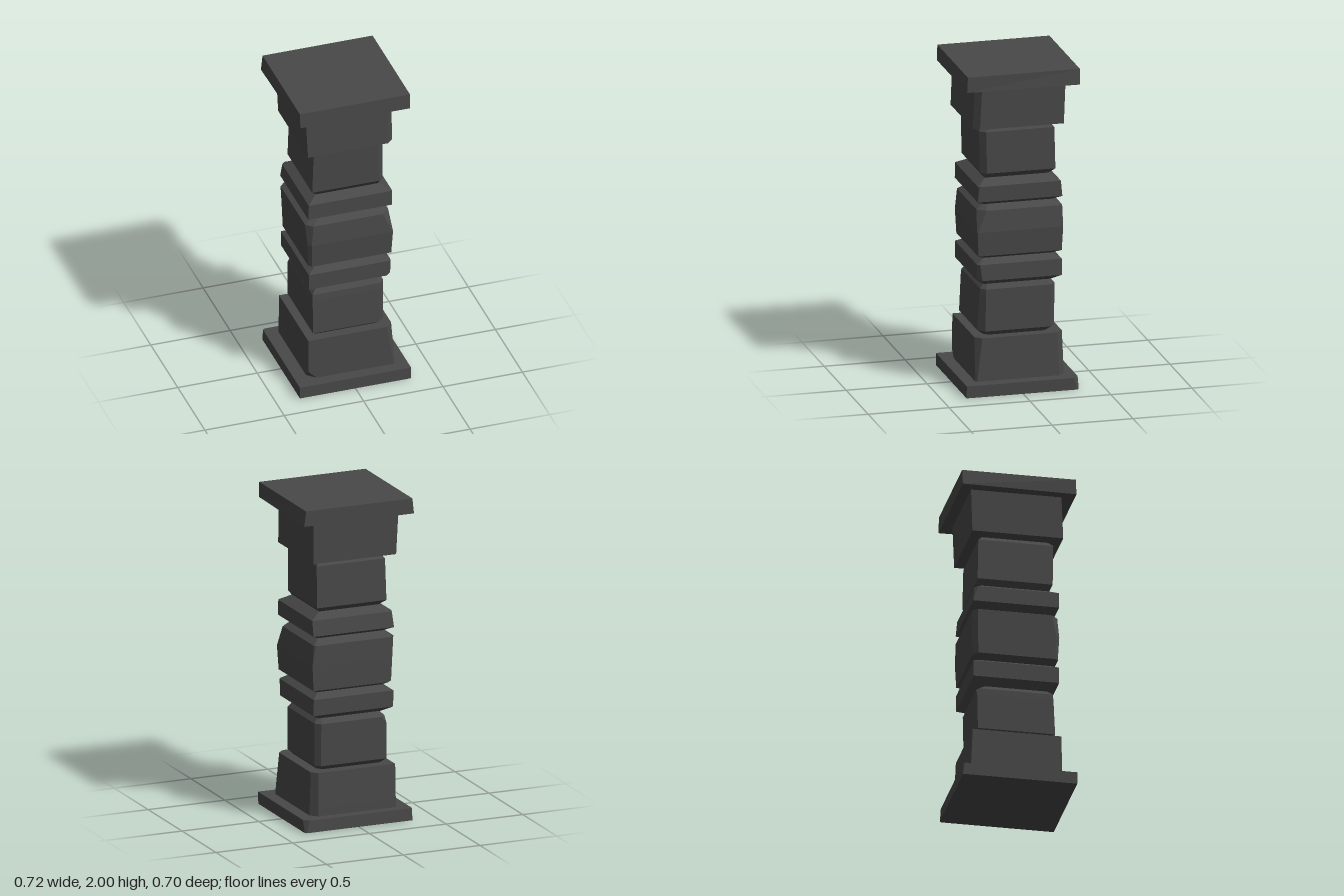
import * as THREE from 'three';

const stone = new THREE.MeshStandardMaterial({ color: 0x484848 });
stone.name = 'dark stone';

// Outline of a chipped rectangle at height y.
// cuts: corner chips in the order right-front, right-back, left-back, left-front (+x is right here).
// flare: extra half width along the back edge.
function outline([y, x0, x1, z0, z1, cuts = [0, 0, 0, 0], flare = 0]) {
  const [a, b, c, d] = cuts;
  const l = x0 - flare, r = x1 + flare;
  return [
    [x1 - a, z1], [x1, z1 - a],
    [r, z0 + b], [r - b, z0],
    [l + c, z0], [l, z0 + c],
    [x0, z1 - d], [x0 + d, z1],
  ].map(([x, z]) => new THREE.Vector3(x, y, z));
}

// Stack outlines into a closed, faceted block.
function block(name, rings) {
  const loops = rings.map(outline);
  const pos = [];
  const tri = (a, b, c) => {
    const area = b.clone().sub(a).cross(c.clone().sub(a)).length();
    if (area > 1e-7) for (const p of [a, b, c]) pos.push(p.x, p.y, p.z);
  };
  for (let i = 0; i < loops.length - 1; i++) {
    const lo = loops[i], hi = loops[i + 1];
    for (let j = 0; j < 8; j++) {
      const k = (j + 1) % 8;
      tri(lo[j], lo[k], hi[k]);
      tri(lo[j], hi[k], hi[j]);
    }
  }
  const bottom = loops[0], top = loops[loops.length - 1];
  for (let j = 1; j < 7; j++) {
    tri(bottom[0], bottom[j + 1], bottom[j]);
    tri(top[0], top[j], top[j + 1]);
  }
  const geo = new THREE.BufferGeometry();
  geo.setAttribute('position', new THREE.Float32BufferAttribute(pos, 3));
  geo.computeVertexNormals();
  const mesh = new THREE.Mesh(geo, stone);
  mesh.name = name;
  return mesh;
}

export function createModel() {
  const pillar = new THREE.Group();
  pillar.name = 'stonePillar';

  pillar.add(
    // Foot of the pillar
    block('plinth', [
      [0, -0.35, 0.348, -0.345, 0.35, [0, 0.01, 0, 0]],
      [0.075, -0.35, 0.35, -0.343, 0.35, [0, 0.03, 0.01, 0]],
    ]),
    block('baseBlock', [
      [0.075, -0.27, 0.275, -0.28, 0.275, [0.01, 0.04, 0, 0.05]],
      [0.125, -0.27, 0.274, -0.279, 0.274, [0.015, 0.04, 0, 0]],
      [0.34, -0.27, 0.265, -0.27, 0.27, [0.04, 0.035, 0, 0]],
    ]),
    // Lower half of the shaft
    block('lowerShaft', [
      [0.34, -0.2, 0.2, -0.2, 0.205, [0.03, 0.03, 0, 0]],
      [0.368, -0.23, 0.225, -0.23, 0.24, [0.04, 0.03, 0, 0]],
      [0.59, -0.229, 0.226, -0.234, 0.23, [0.032, 0.03, 0, 0]],
      [0.63, -0.228, 0.226, -0.235, 0.226, [0.03, 0.03, 0.03, 0]],
      [0.66, -0.2, 0.2, -0.2, 0.2, [0.02, 0.02, 0.02, 0]],
    ]),
    block('lowerBand', [
      [0.66, -0.205, 0.205, -0.205, 0.205],
      [0.695, -0.26, 0.26, -0.262, 0.258, [0.03, 0, 0, 0]],
      [0.795, -0.262, 0.257, -0.263, 0.257, [0.015, 0, 0, 0]],
      [0.825, -0.21, 0.21, -0.21, 0.21],
    ]),
    // Bulging block at mid height
    block('middleBlock', [
      [0.825, -0.21, 0.21, -0.21, 0.21],
      [0.85, -0.26, 0.258, -0.262, 0.254, [0, 0, 0.03, 0.02]],
      [1.0, -0.265, 0.268, -0.268, 0.262, [0.005, 0, 0.03, 0.02]],
      [1.13, -0.272, 0.255, -0.268, 0.252, [0.05, 0.01, 0.03, 0.04]],
      [1.16, -0.21, 0.21, -0.21, 0.21, [0.02, 0, 0.02, 0.02]],
    ]),
    // Upper half of the shaft
    block('upperBand', [
      [1.16, -0.21, 0.21, -0.21, 0.21],
      [1.188, -0.265, 0.26, -0.265, 0.257],
      [1.285, -0.262, 0.264, -0.255, 0.256, [0.01, 0, 0.02, 0]],
      [1.32, -0.2, 0.2, -0.2, 0.2],
    ]),
    block('upperShaft', [
      [1.32, -0.195, 0.195, -0.195, 0.2],
      [1.352, -0.23, 0.224, -0.232, 0.225, [0.035, 0, 0, 0]],
      [1.61, -0.223, 0.222, -0.226, 0.23, [0.035, 0, 0, 0]],
      [1.645, -0.19, 0.2, -0.195, 0.2, [0.03, 0, 0, 0]],
    ]),
    // Head of the pillar
    block('capitalBlock', [
      [1.642, -0.275, 0.265, -0.273, 0.28, [0.035, 0, 0, 0]],
      [1.905, -0.285, 0.267, -0.283, 0.267, [0.035, 0, 0, 0]],
    ]),
    block('capSlab', [
      [1.905, -0.346, 0.345, -0.348, 0.346, [0, 0, 0, 0], 0.012],
      [2, -0.347, 0.346, -0.35, 0.342],
    ]),
  );
  return pillar;
}
